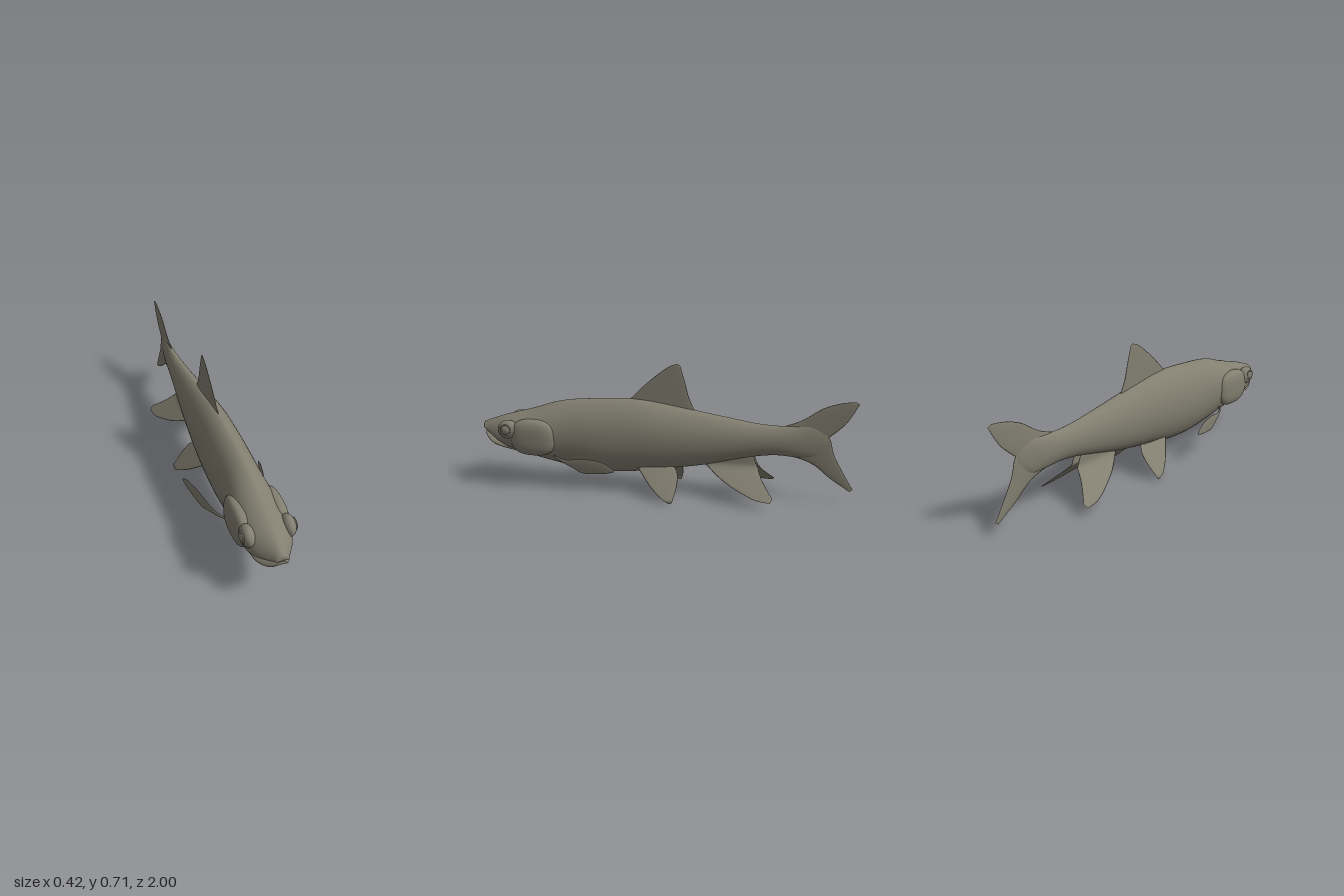
import * as THREE from 'three';

const skin = new THREE.MeshStandardMaterial({ color: 0x827f70, side: THREE.DoubleSide });

function addMesh(parent, name, geometry) {
  const mesh = new THREE.Mesh(geometry, skin);
  mesh.name = name;
  parent.add(mesh);
  return mesh;
}

// Skins a list of closed rings of equal length
function skinRings(rings) {
  const n = rings[0].length;
  const index = [];
  for (let i = 0; i < rings.length - 1; i++) {
    for (let j = 0; j < n; j++) {
      const a = i * n + j, b = i * n + (j + 1) % n;
      index.push(a, a + n, b, b, a + n, b + n);
    }
  }
  const geometry = new THREE.BufferGeometry();
  geometry.setAttribute('position', new THREE.Float32BufferAttribute(rings.flat(2), 3));
  geometry.setIndex(index);
  geometry.computeVertexNormals();
  return geometry;
}

// Body loft; sections are [z, top, bottom, half width, droop of the sides]
function loft(sections, steps, sides = 40) {
  const smooth = pts => new THREE.CatmullRomCurve3(pts, false, 'catmullrom', 0.5);
  const heights = smooth(sections.map(s => new THREE.Vector3(s[0], s[1], s[2])));
  const widths = smooth(sections.map(s => new THREE.Vector3(s[0], s[3], s[4] || 0)));
  const ring = (t, scale) => {
    const h = heights.getPoint(t), w = widths.getPoint(t);
    const mid = (h.y + h.z) / 2, half = (h.y - h.z) / 2;
    return Array.from({ length: sides }, (_, j) => {
      const a = j / sides * Math.PI * 2, c = Math.cos(a), s = Math.sin(a);
      // the back is a little narrower than the belly
      const k = Math.sign(c) * Math.pow(Math.abs(c), s > 0 ? 1.2 : 1);
      return [w.y * k * scale, mid + (half * s - w.z * k * k) * scale, h.x];
    });
  };
  const rings = [ring(0, 0)];
  for (let i = 0; i <= steps; i++) rings.push(ring(i / steps, 1));
  rings.push(ring(1, 0));
  return skinRings(rings);
}

// Fin lofted between two [z, y] edges from root to tip, with a lens section
function fin(edgeA, edgeB, thickness, bend = () => 0) {
  const curve = e => new THREE.SplineCurve(e.map(p => new THREE.Vector2(p[0], p[1])));
  const A = curve(edgeA), B = curve(edgeB), steps = 24, sides = 20;
  const rings = [];
  for (let i = 0; i <= steps; i++) {
    const t = i / steps, a = A.getPoint(t), b = B.getPoint(t);
    rings.push(Array.from({ length: sides }, (_, j) => {
      const q = j / sides * Math.PI * 2;
      const p = a.clone().lerp(b, (1 - Math.cos(q)) / 2);
      return [bend(p.x, p.y) + thickness * Math.sqrt(1 - t) * Math.sin(q), p.y, p.x];
    }));
  }
  return skinRings(rings);
}

// Ellipsoid with optionally squared-off shoulders
function bulge(rx, ry, rz, power = 1) {
  const geometry = new THREE.SphereGeometry(1, 40, 28);
  const p = geometry.attributes.position;
  const f = v => Math.sign(v) * Math.pow(Math.abs(v), power);
  for (let i = 0; i < p.count; i++) {
    p.setXYZ(i, f(p.getX(i)) * rx, f(p.getY(i)) * ry, f(p.getZ(i)) * rz);
  }
  geometry.computeVertexNormals();
  return geometry;
}

export function createModel() {
  const fish = new THREE.Group();
  fish.name = 'fish';

  // Trunk with the upper snout
  addMesh(fish, 'body', loft([
    [1.0, 0.345, 0.318, 0.03, 0.01],
    [0.97, 0.357, 0.305, 0.047, 0.025],
    [0.93, 0.371, 0.285, 0.075, 0.035],
    [0.89, 0.386, 0.25, 0.097, 0.03],
    [0.83, 0.403, 0.205, 0.115, 0.01],
    [0.7, 0.44, 0.165, 0.118],
    [0.6, 0.474, 0.14, 0.113],
    [0.5, 0.495, 0.12, 0.109],
    [0.35, 0.508, 0.101, 0.111],
    [0.2, 0.516, 0.105, 0.108],
    [0.1, 0.513, 0.119, 0.105],
    [0, 0.5, 0.135, 0.099],
    [-0.2, 0.465, 0.168, 0.081],
    [-0.4, 0.431, 0.214, 0.06],
    [-0.5, 0.416, 0.238, 0.05],
    [-0.6, 0.41, 0.25, 0.039],
    [-0.7, 0.415, 0.245, 0.028],
    [-0.78, 0.42, 0.25, 0.016],
    [-0.85, 0.39, 0.3, 0.005],
  ], 110));

  // Lower jaw below the mouth slit
  addMesh(fish, 'lowerJaw', loft([
    [0.99, 0.302, 0.284, 0.028, 0.008],
    [0.97, 0.295, 0.262, 0.046, 0.014],
    [0.93, 0.28, 0.238, 0.068, 0.014],
    [0.88, 0.27, 0.22, 0.085, 0.008],
    [0.8, 0.27, 0.193, 0.09],
  ], 24));

  // Midline fins
  addMesh(fish, 'dorsalFin', fin(
    [[0.19, 0.5], [0.086, 0.604], [-0.02, 0.69], [-0.075, 0.714]],
    [[-0.18, 0.45], [-0.14, 0.53], [-0.115, 0.62], [-0.09, 0.704]], 0.006));
  addMesh(fish, 'upperTailLobe', fin(
    [[-0.62, 0.405], [-0.72, 0.445], [-0.82, 0.513], [-0.91, 0.546], [-0.98, 0.556]],
    [[-0.62, 0.33], [-0.8, 0.32], [-0.866, 0.365], [-0.945, 0.445], [-1, 0.545]], 0.008));
  addMesh(fish, 'lowerTailLobe', fin(
    [[-0.62, 0.255], [-0.72, 0.237], [-0.8, 0.203], [-0.88, 0.139], [-0.985, 0.07]],
    [[-0.62, 0.33], [-0.8, 0.39], [-0.864, 0.36], [-0.9, 0.255], [-1, 0.083]], 0.008));

  // Paired parts, built on the left and mirrored
  for (const [side, sign] of [['left', 1], ['right', -1]]) {
    const half = new THREE.Group();
    half.name = side + 'Side';
    half.scale.x = sign;
    fish.add(half);

    addMesh(half, 'gillCover', bulge(0.042, 0.1, 0.125, 0.75)).position.set(0.093, 0.298, 0.692);
    addMesh(half, 'eyeSocket', bulge(0.034, 0.052, 0.058)).position.set(0.099, 0.337, 0.828);
    addMesh(half, 'eye', bulge(0.013, 0.026, 0.026)).position.set(0.126, 0.342, 0.834);
    const rim = addMesh(half, 'eyeRim', new THREE.TorusGeometry(0.027, 0.004, 10, 32));
    rim.rotation.y = Math.PI / 2;
    rim.position.set(0.128, 0.342, 0.834);

    addMesh(half, 'pectoralFin', fin(
      [[0.58, 0.207], [0.5, 0.2], [0.4, 0.222], [0.3, 0.222], [0.24, 0.2], [0.22, 0.182]],
      [[0.58, 0.193], [0.47, 0.165], [0.41, 0.142], [0.34, 0.147], [0.27, 0.16], [0.22, 0.176]],
      0.006, z => 0.09 + 0.12 * Math.pow(Math.max(0, 0.58 - z) / 0.36, 0.6)));
    addMesh(half, 'pelvicFin', fin(
      [[0.13, 0.155], [0.06, 0.085], [0.005, 0.042], [-0.06, 0.002]],
      [[-0.07, 0.165], [-0.093, 0.13], [-0.093, 0.075], [-0.077, 0.008]],
      0.006, (z, y) => Math.min(0.172, 0.07 + (0.14 - y) * 0.85)));
    addMesh(half, 'rearBellyFin', fin(
      [[-0.22, 0.19], [-0.315, 0.128], [-0.396, 0.09], [-0.5, 0.053], [-0.583, 0.044]],
      [[-0.48, 0.25], [-0.505, 0.19], [-0.53, 0.14], [-0.56, 0.1], [-0.594, 0.062]],
      0.006, (z, y) => Math.max(0.02, 0.055 + (0.15 - y) * 1.05)));
  }
  return fish;
}
